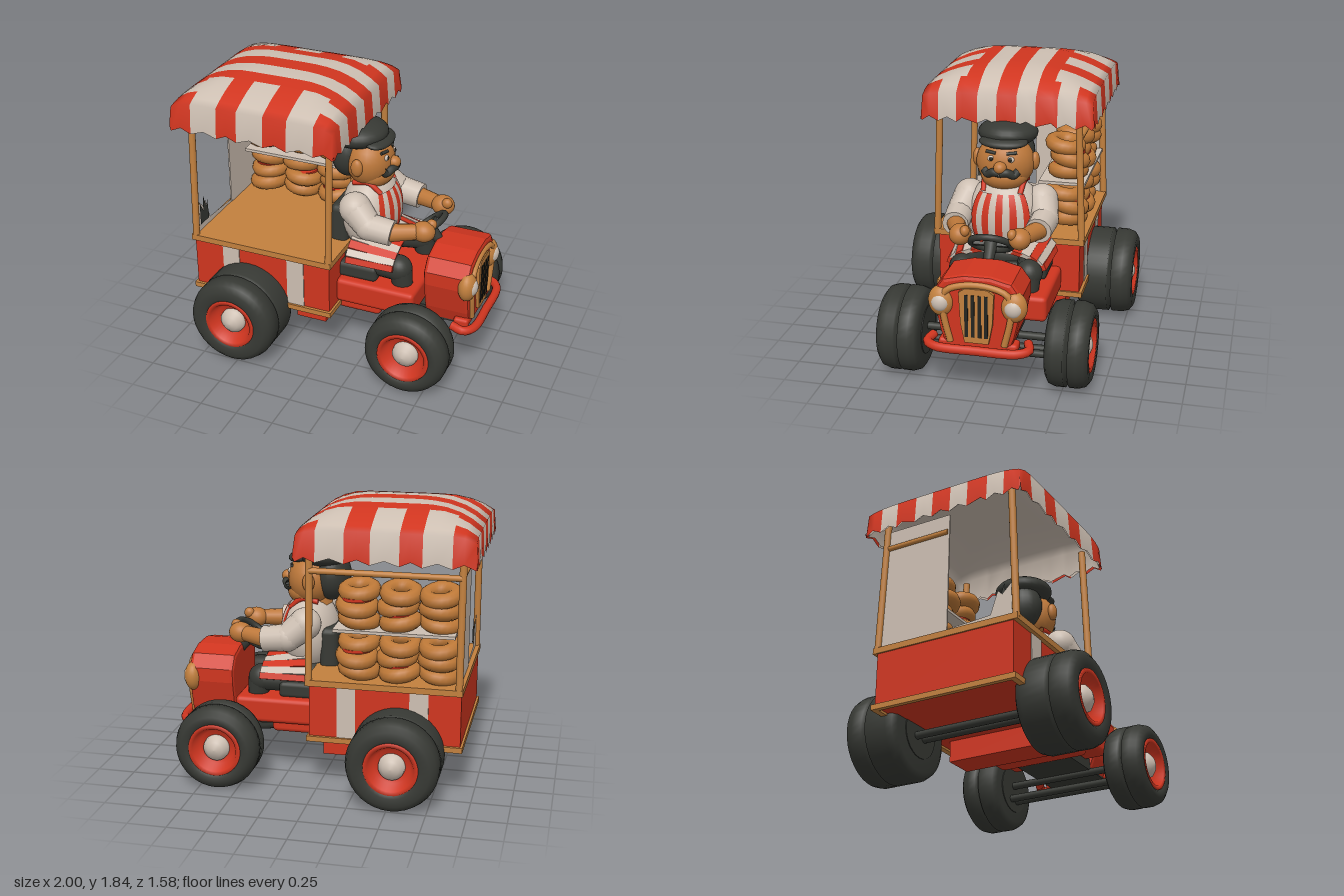
import * as THREE from 'three';
import { RoundedBoxGeometry } from 'three/addons/geometries/RoundedBoxGeometry.js';

const mat = (name, color) => {
  const m = new THREE.MeshStandardMaterial({ color, side: THREE.DoubleSide });
  m.name = name;
  return m;
};

export function createModel() {
  const red = mat('red', 0xd0351f), cream = mat('cream', 0xcdbfb2), dark = mat('charcoal', 0x373934);
  const wood = mat('wood', 0xc2803e), skin = mat('skin', 0xbd783a), crust = mat('crust', 0xbd7837);
  const black = mat('black', 0x23241f);
  const root = new THREE.Group();

  const add = (name, geo, m, p = [0, 0, 0], parent = root) => {
    const mesh = new THREE.Mesh(geo, m);
    mesh.name = name;
    mesh.position.set(...p);
    parent.add(mesh);
    return mesh;
  };
  // Box given by its limits on each axis
  const box = (name, m, [x0, x1], [y0, y1], [z0, z1], round = 0) => {
    const s = [x1 - x0, y1 - y0, z1 - z0];
    const geo = round ? new RoundedBoxGeometry(...s, 2, round) : new THREE.BoxGeometry(...s);
    return add(name, geo, m, [(x0 + x1) / 2, (y0 + y1) / 2, (z0 + z1) / 2]);
  };
  const ball = (name, m, p, r) => {
    const b = add(name, new THREE.SphereGeometry(1, 24, 16), m, p);
    b.scale.set(...r);
    return b;
  };
  const rod = (name, m, a, b, ra, rb = ra) => {
    const A = new THREE.Vector3(...a), d = new THREE.Vector3(...b).sub(A);
    const r = add(name, new THREE.CylinderGeometry(rb, ra, d.length(), 14), m, A.clone().addScaledVector(d, 0.5).toArray());
    r.quaternion.setFromUnitVectors(new THREE.Vector3(0, 1, 0), d.normalize());
    return r;
  };
  const tube = (name, m, pts, r) => add(name, new THREE.TubeGeometry(
    new THREE.CatmullRomCurve3(pts.map(p => new THREE.Vector3(...p))), 32, r, 10), m);

  // Cart body with painted stripes and wooden trim
  box('cartBody', red, [-0.92, 0.05], [0.34, 0.72], [-0.48, 0.48]);
  box('counter', wood, [-0.93, 0.07], [0.7, 0.74], [-0.51, 0.51]);
  for (const s of [-1, 1]) {
    box('lowerTrim', wood, [-0.935, 0.06], [0.325, 0.36], [s * 0.48 - 0.02, s * 0.48 + 0.02]);
    for (const x of [-0.655, -0.19])
      box('bodyStripe', cream, [x - 0.06, x + 0.06], [0.36, 0.7], [s * 0.482 - 0.004, s * 0.482 + 0.004]);
    for (const x of [-0.905, 0.05]) rod('post', wood, [x, 0.72, s * 0.49], [x, 1.64, s * 0.455], 0.023);
  }
  for (const x of [-0.92, 0.05]) box('endTrim', wood, [x - 0.015, x + 0.015], [0.325, 0.36], [-0.5, 0.5]);
  rod('sideRail', wood, [-0.9, 1.44, -0.47], [0.05, 1.44, -0.47], 0.02);
  rod('endRail', wood, [-0.9, 1.44, -0.47], [-0.9, 1.44, 0], 0.02);
  box('endPanel', cream, [-0.905, -0.895], [0.73, 1.56], [-0.47, 0.01]);

  // Torn remains of the low end panel, with a dark liner
  const plate = (name, m, pts, x) => add(name, new THREE.ShapeGeometry(
    new THREE.Shape(pts.map(p => new THREE.Vector2(...p)))), m, [x, 0.73, 0]).rotation.y = Math.PI / 2;
  plate('lowEndPanel', cream, [[-0.01, 0], [-0.46, 0], [-0.46, 0.24], [-0.39, 0.17], [-0.36, 0.2], [-0.31, 0.05], [-0.01, 0.03]], -0.9);
  plate('darkLiner', dark, [[-0.34, 0.06], [-0.45, 0.06], [-0.45, 0.22], [-0.41, 0.15], [-0.4, 0.25], [-0.37, 0.16], [-0.35, 0.2]], -0.89);

  // Striped canopy: a domed grid whose outer ring hangs as a scalloped hem
  const xs = [-1, -0.99, -0.92, -0.85, -0.76, -0.67, -0.6, -0.53, -0.44, -0.35, -0.27, -0.19, -0.1, -0.01, 0.06, 0.115, 0.13];
  const half = [0, 0.065, 0.13, 0.19, 0.29, 0.33, 0.39, 0.45, 0.51, 0.555, 0.57];
  const zs = [...half.slice(1).reverse().map(z => -z), ...half];
  const pos = [], idx = [[], []];
  xs.forEach((x, i) => zs.forEach((z, j) => {
    const hem = i === 0 || j === 0 || i === xs.length - 1 || j === zs.length - 1;
    const dz = 0.125 * Math.abs(z / 0.555) ** 2.6, dx = 0.14 * Math.abs((x + 0.435) / 0.555) ** 3.5;
    pos.push(x, hem ? 1.545 - 0.03 * ((i + j) % 2) : 1.84 - Math.cbrt(dz ** 3 + dx ** 3), z);
  }));
  const xWhite = x => (x > -0.85 && x < -0.67) || (x > -0.53 && x < -0.35) || (x > -0.19 && x < -0.01);
  const zWhite = z => (z > 0.065 && z < 0.19) || (z > 0.33 && z < 0.45);
  const n = zs.length;
  for (let i = 0; i < xs.length - 1; i++) for (let j = 0; j < n - 1; j++) {
    const x = (xs[i] + xs[i + 1]) / 2, z = Math.abs(zs[j] + zs[j + 1]) / 2;
    const white = z > 0.3 && x > -0.85 && x < -0.01 ? xWhite(x) : zWhite(z);
    const a = i * n + j, b = a + n;
    idx[white ? 1 : 0].push(a, a + 1, b, b, a + 1, b + 1);
  }
  const roof = new THREE.BufferGeometry();
  roof.setAttribute('position', new THREE.Float32BufferAttribute(pos, 3));
  roof.setIndex([...idx[0], ...idx[1]]);
  roof.addGroup(0, idx[0].length, 0);
  roof.addGroup(idx[0].length, idx[1].length, 1);
  roof.computeVertexNormals();
  add('canopy', roof, [red, cream]);

  // Plain lining under the canopy
  const lining = roof.clone().translate(0.435, -1.5, 0).scale(0.98, 0.93, 0.98);
  lining.clearGroups();
  add('canopyLining', lining, cream, [-0.435, 1.51, 0]);

  // Shelf and stacks of filled ring rolls
  box('shelf', cream, [-0.87, -0.1], [1.055, 1.075], [-0.48, -0.17]);
  const ring = new THREE.TorusGeometry(0.088, 0.05, 10, 22);
  const filling = new THREE.CylinderGeometry(0.1, 0.1, 0.02, 16);
  for (const y0 of [0.79, 1.12]) for (let c = 0; c < 3; c++) for (let k = 0; k < 3; k++) {
    const x = -0.76 + c * 0.26 + 0.012 * Math.sin(c * 5 + k * 3), y = y0 + k * 0.09;
    const z = -0.34 + 0.02 * Math.cos(c * 4 + k * 2);
    const b = add('ringRoll', ring, crust, [x, y, z]);
    b.rotation.set(Math.PI / 2 - 0.13 + 0.13 * Math.sin(k * 2 + c), 0.14 * Math.cos(c * 3 + k), 0);
    if (k < 2) add('rollFilling', filling, red, [x, y + 0.046, z]);
  }

  // Wheels: lathed tyre with a groove, dished rim and pointed hub
  const lathe = pts => new THREE.LatheGeometry(pts.map(p => new THREE.Vector2(...p)), 36);
  const wheel = (x, R, z0, z1, groove, s) => {
    const g = new THREE.Group(), h = (z1 - z0) / 2;
    g.name = 'wheel';
    g.position.set(x, R, s * (z0 + h));
    g.rotation.x = s * Math.PI / 2;
    root.add(g);
    add('tyre', lathe([[0.1, -h], [R - 0.05, -h], [R - 0.015, -h + 0.02], [R, -h + 0.06], [R, groove - 0.014],
      [R - 0.03, groove - 0.01], [R - 0.03, groove + 0.01], [R, groove + 0.014], [R, h - 0.07], [R - 0.015, h - 0.025],
      [R - 0.05, h], [0.19, h], [0.168, h - 0.015]]), dark, [0, 0, 0], g);
    add('innerDisc', new THREE.CylinderGeometry(0.16, 0.16, 0.02, 24), dark, [0, 0.005 - h, 0], g);
    add('rim', lathe([[0.175, h - 0.02], [0.17, h - 0.004], [0.145, h - 0.008], [0.115, h - 0.07], [0, h - 0.08]]), red, [0, 0, 0], g);
    add('hub', lathe([[0.085, h - 0.076], [0.082, h - 0.045], [0.05, h - 0.018], [0.018, h - 0.006], [0, h - 0.004]]), cream, [0, 0, 0], g);
  };
  for (const s of [-1, 1]) {
    wheel(-0.53, 0.295, 0.41, 0.79, 0.035, s);
    wheel(0.63, 0.275, 0.4, 0.675, 0, s);
  }

  // Axles and chassis
  for (const [x, y] of [[-0.57, 0.27], [-0.49, 0.27], [0.6, 0.2], [0.67, 0.2], [0.63, 0.3]])
    rod('axle', dark, [x, y, -0.46], [x, y, 0.46], 0.025);
  box('underBox', red, [-0.23, -0.02], [0.2, 0.35], [-0.38, 0.38]);
  box('chassisFloor', dark, [-0.02, 0.88], [0.31, 0.39], [-0.2, 0.2]);

  // Driver's tub, seat and hood
  box('cabTub', red, [0.04, 0.58], [0.37, 0.54], [-0.36, 0.36], 0.03);
  box('sideStep', red, [0.04, 0.34], [0.3, 0.42], [-0.32, 0.32], 0.03);
  box('seatBase', dark, [-0.02, 0.3], [0.53, 0.64], [-0.3, 0.3], 0.03);
  box('seatBack', dark, [-0.07, 0.05], [0.58, 0.99], [-0.2, 0.2], 0.04);
  const prism = (profile, depth, bevel) => {
    const side = profile.map(p => new THREE.Vector2(...p));
    const mirror = profile.map(([z, y]) => new THREE.Vector2(-z, y)).reverse();
    return new THREE.ExtrudeGeometry(new THREE.Shape([...side, ...mirror]),
      { depth, bevelEnabled: bevel > 0, bevelSize: bevel, bevelThickness: bevel, bevelSegments: 2 }).rotateY(Math.PI / 2);
  };
  add('hood', prism([[0.18, 0.34], [0.21, 0.42], [0.25, 0.6], [0.25, 0.68], [0.2, 0.75], [0.08, 0.78]], 0.255, 0.025), red, [0.64, 0, 0]);
  tube('grilleArch', wood, [[0.92, 0.36, 0.17], [0.925, 0.55, 0.21], [0.925, 0.69, 0.2], [0.92, 0.74, 0.09],
    [0.92, 0.74, -0.09], [0.925, 0.69, -0.2], [0.925, 0.55, -0.21], [0.92, 0.36, -0.17]], 0.021);
  add('grille', prism([[0.075, 0.37], [0.1, 0.5], [0.11, 0.7], [0.07, 0.73]], 0.03, 0), wood, [0.912, 0, 0]);
  for (const z of [-0.062, -0.021, 0.021, 0.062])
    box('grilleSlot', black, [0.94, 0.946], [0.41, 0.69], [z - 0.011, z + 0.011]);
  for (const s of [-1, 1]) {
    ball('lampHousing', wood, [0.9, 0.62, s * 0.228], [0.06, 0.1, 0.082]);
    ball('lampLens', cream, [0.925, 0.62, s * 0.228], [0.045, 0.062, 0.058]);
  }
  tube('bumper', red, [[0.83, 0.35, -0.3], [0.91, 0.34, -0.32], [0.96, 0.335, -0.26], [0.972, 0.335, 0],
    [0.96, 0.335, 0.26], [0.91, 0.34, 0.32], [0.83, 0.35, 0.3]], 0.029);
  box('frontApron', red, [0.82, 0.92], [0.31, 0.37], [-0.25, 0.25], 0.02);

  // Steering wheel, raked so that its far rim is higher
  const steer = new THREE.Group();
  steer.name = 'steering';
  steer.position.set(0.55, 0.87, 0);
  steer.rotation.z = 0.68;
  root.add(steer);
  add('steeringWheel', new THREE.TorusGeometry(0.13, 0.021, 10, 28).rotateX(Math.PI / 2), dark, [0, 0, 0], steer);
  add('steeringSpoke', new THREE.BoxGeometry(0.03, 0.02, 0.25), dark, [0, -0.005, 0], steer);
  add('steeringSpoke', new THREE.BoxGeometry(0.13, 0.02, 0.03), dark, [-0.065, -0.005, 0], steer);
  add('steeringColumn', new THREE.CylinderGeometry(0.045, 0.025, 0.2, 14), dark, [0, -0.085, 0], steer);

  // Driver's body and striped apron draped in an arch over the lap
  const tc = [0.15, 0.92, 0], tr = [0.19, 0.27, 0.26];
  ball('torso', cream, tc, tr);
  for (let k = 0; k < 9; k++) {
    const bib = add('apronBibStripe', new THREE.SphereGeometry(1.03, 4, 14, Math.PI - 0.81 + k * 0.18, 0.18, 0.85, 1.55), k % 2 ? cream : red, tc);
    bib.scale.set(...tr);
  }
  for (let k = -6; k <= 6; k++) {
    const a = k * 0.23, s = Math.sin(a), c = Math.cos(a);
    const lap = add('apronLapStripe', new THREE.BoxGeometry(0.32, 0.03, 0.25 * Math.hypot(0.32 * c, 0.16 * s)),
      k % 2 ? cream : red, [0.26, 0.65 + 0.16 * c, 0.32 * s]);
    lap.rotation.set(Math.atan2(0.16 * s, 0.32 * c), 0, -0.28 * c);
  }
  ball('hips', dark, [0.12, 0.66, 0], [0.16, 0.12, 0.25]);
  for (const s of [-1, 1]) {
    tube('apronStrap', red, [[0.26, 1.1, s * 0.12], [0.18, 1.165, s * 0.13], [0.07, 1.15, s * 0.13]], 0.018);
    rod('thigh', dark, [0.1, 0.63, s * 0.17], [0.43, 0.64, s * 0.22], 0.09, 0.085);
    ball('knee', dark, [0.43, 0.64, s * 0.22], [0.09, 0.09, 0.085]);
    rod('shin', dark, [0.44, 0.64, s * 0.22], [0.47, 0.46, s * 0.22], 0.08, 0.06);
    ball('shoulder', cream, [0.13, 1.03, s * 0.24], [0.105, 0.105, 0.105]);
    rod('upperSleeve', cream, [0.13, 1.03, s * 0.24], [0.24, 0.94, s * 0.28], 0.105, 0.09);
    ball('elbow', cream, [0.24, 0.94, s * 0.28], [0.092, 0.092, 0.09]);
    rod('lowerSleeve', cream, [0.24, 0.94, s * 0.28], [0.4, 0.92, s * 0.27], 0.09, 0.085);
    rod('forearm', skin, [0.38, 0.92, s * 0.27], [0.56, 0.93, s * 0.2], 0.06, 0.05);
    ball('hand', skin, [0.58, 0.93, s * 0.19], [0.078, 0.068, 0.07]);
    ball('thumb', skin, [0.62, 0.97, s * 0.15], [0.035, 0.035, 0.03]);
  }

  // Head, face and cap
  rod('neck', skin, [0.1, 1.1, 0], [0.12, 1.2, 0], 0.1);
  ball('head', skin, [0.14, 1.28, 0], [0.155, 0.18, 0.19]);
  ball('jaw', skin, [0.17, 1.2, 0], [0.13, 0.1, 0.155]);
  ball('hair', dark, [0, 1.31, 0], [0.12, 0.17, 0.165]);
  ball('nose', skin, [0.3, 1.285, 0], [0.045, 0.04, 0.042]);
  ball('cap', dark, [0.06, 1.455, 0], [0.19, 0.09, 0.195]).rotation.z = 0.05;
  ball('capBrim', dark, [0.2, 1.43, 0], [0.09, 0.035, 0.16]).rotation.z = -0.15;
  for (const s of [-1, 1]) {
    ball('ear', skin, [0.12, 1.29, s * 0.19], [0.04, 0.06, 0.03]);
    tube('moustache', dark, [[0.31, 1.25, 0], [0.305, 1.255, s * 0.045], [0.28, 1.235, s * 0.085], [0.265, 1.26, s * 0.11]], 0.026);
    ball('eye', cream, [0.273, 1.335, s * 0.065], [0.013, 0.02, 0.022]);
    ball('pupil', black, [0.283, 1.335, s * 0.062], [0.006, 0.014, 0.013]);
    rod('eyebrow', dark, [0.268, 1.37, s * 0.035], [0.25, 1.375, s * 0.1], 0.01);
  }
  return root;
}
